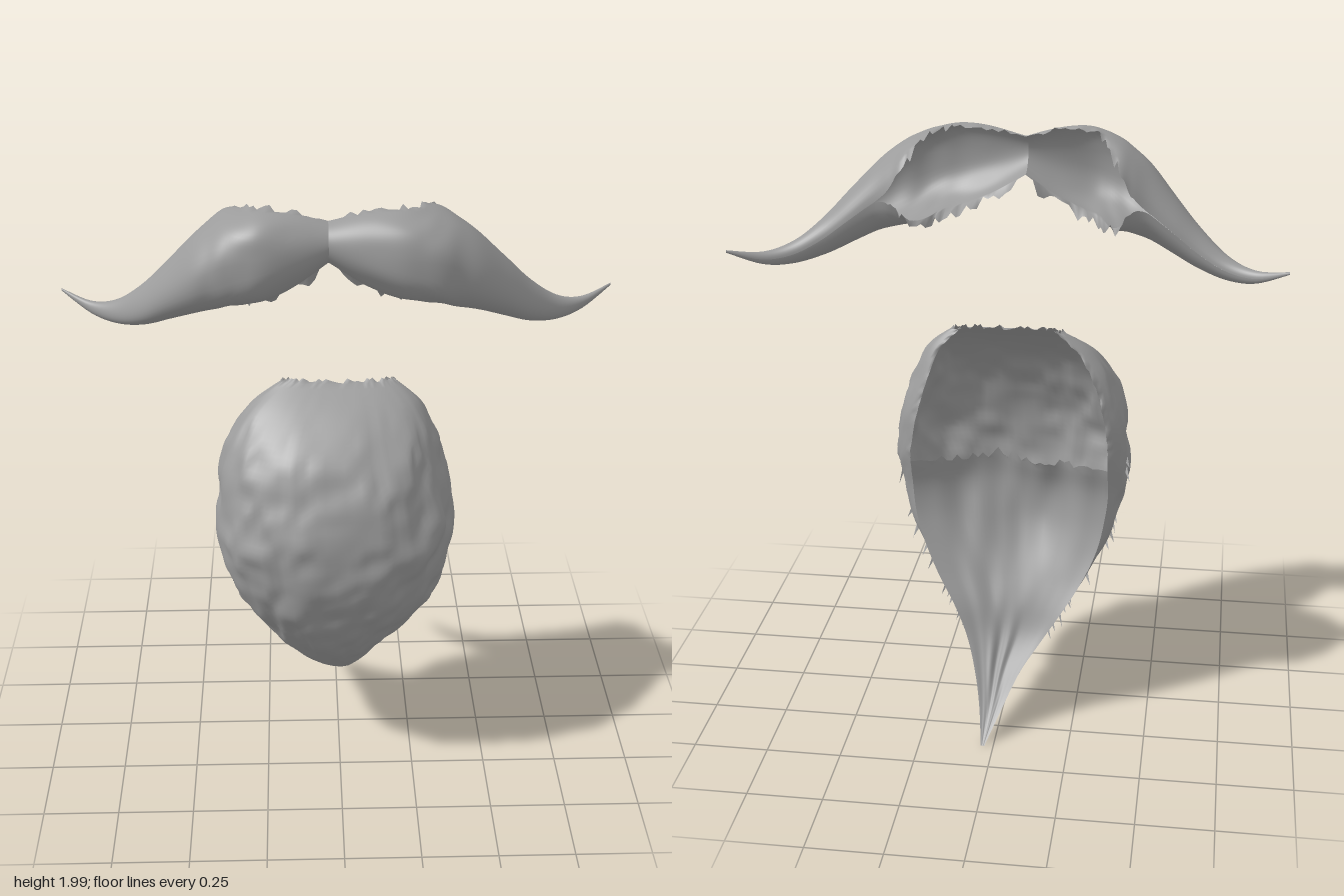
import * as THREE from 'three';
import { mergeGeometries } from 'three/addons/utils/BufferGeometryUtils.js';

// Smooth interpolation through rows of numbers, t in 0..1
function sample(rows, t) {
  const f = Math.min(Math.max(t, 0), 1) * (rows.length - 1);
  const i = Math.min(Math.floor(f), rows.length - 2), k = f - i;
  const at = (n) => rows[Math.min(Math.max(n, 0), rows.length - 1)];
  return rows[0].map((_, c) => {
    const a = at(i - 1)[c], b = at(i)[c], d = at(i + 1)[c], e = at(i + 2)[c];
    return b + 0.5 * k * (d - a + k * (2 * a - 5 * b + 4 * d - e + k * (3 * (b - d) + e - a)));
  });
}

// Signed power, for squarer or rounder cross-sections
const pw = (s, p) => Math.sign(s) * Math.abs(s) ** p;

// Repeatable noise
const hash = (a, b = 0) => {
  const s = Math.sin(a * 127.1 + b * 311.7) * 43758.5453;
  return s - Math.floor(s);
};
function noise(x, y) {
  const i = Math.floor(x), j = Math.floor(y);
  const s = (k) => k * k * (3 - 2 * k);
  const u = s(x - i), v = s(y - j), mix = THREE.MathUtils.lerp;
  return mix(mix(hash(i, j), hash(i + 1, j), u), mix(hash(i, j + 1), hash(i + 1, j + 1), u), v) - 0.5;
}

// Grid surface from point(u, v, column, row)
function surface(nu, nv, point) {
  const pos = [], idx = [];
  for (let j = 0; j <= nv; j++) {
    for (let i = 0; i <= nu; i++) {
      pos.push(...point(i / nu, j / nv, i, j));
      if (i < nu && j < nv) {
        const a = j * (nu + 1) + i, b = a + 1, c = a + nu + 1, d = c + 1;
        idx.push(a, b, d, a, d, c);
      }
    }
  }
  const g = new THREE.BufferGeometry();
  g.setAttribute('position', new THREE.Float32BufferAttribute(pos, 3));
  g.setIndex(idx);
  g.computeVertexNormals();
  return g;
}

// Moustache stations: distance out, top, bottom, front, back, arc half-angle, squareness
const STACHE = [
  [0.00, 1.955, 1.83, 0.25, 0.10, 92, 1],
  [0.10, 1.98, 1.765, 0.28, 0.08, 92, 0.95],
  [0.20, 1.99, 1.72, 0.305, 0.05, 93, 0.85],
  [0.27, 1.98, 1.705, 0.305, -0.01, 100, 0.75],
  [0.33, 1.96, 1.69, 0.295, -0.06, 140, 0.75],
  [0.38, 1.93, 1.675, 0.275, -0.045, 170, 0.85],
  [0.44, 1.885, 1.655, 0.25, -0.03, 180, 0.95],
  [0.52, 1.80, 1.62, 0.19, -0.03, 180, 1],
  [0.61, 1.705, 1.58, 0.115, -0.035, 180, 1],
  [0.70, 1.635, 1.56, 0.03, -0.055, 180, 1],
  [0.79, 1.61, 1.57, -0.05, -0.09, 180, 1],
  [0.89, 1.63, 1.622, -0.13, -0.138, 180, 1],
];

// Half of the moustache: a horn whose inner end is open at the back
function stacheHalf(side) {
  return surface(36, 66, (u, v, i, j) => {
    const [out, top, bottom, front, back, arc, power] = sample(STACHE, v);
    const edge = i === 0 || i === 36;
    const open = edge && j > 2 ? THREE.MathUtils.clamp((176 - arc) / 40, 0, 1) : 0;
    const limit = Math.min(arc, 180) + (hash(j, i + side) - 0.3) * 20 * open;
    const a = THREE.MathUtils.degToRad((1 - 2 * u) * limit);
    const swell = 1 + noise(u * 7 + side * 9, v * 9) * 0.05 * Math.min(1, v * 8);
    const fringe = open * (i === 36 ? -0.04 * hash(j, 11 + side) : 0.02 * (hash(j, 17 + side) - 0.5));
    return [
      side * out - 0.035 * (1 - v) ** 2,
      (top + bottom) / 2 + (top - bottom) / 2 * pw(Math.sin(a), power) * swell + fringe,
      (front + back) / 2 + (front - back) / 2 * pw(Math.cos(a), power) * swell,
    ];
  });
}

// Beard rows from tip to top: height, right edge, left edge, front, rim
const BEARD = [
  [0.00, 0.03, 0.042, -0.375, -0.38],
  [0.10, -0.02, 0.06, -0.20, -0.29],
  [0.20, -0.07, 0.085, -0.05, -0.225],
  [0.30, -0.14, 0.12, 0.08, -0.175],
  [0.40, -0.21, 0.17, 0.18, -0.145],
  [0.50, -0.28, 0.24, 0.26, -0.105],
  [0.60, -0.335, 0.30, 0.315, -0.07],
  [0.70, -0.37, 0.345, 0.35, -0.045],
  [0.80, -0.395, 0.37, 0.37, -0.04],
  [0.90, -0.405, 0.385, 0.375, -0.065],
  [1.00, -0.40, 0.37, 0.355, -0.08],
  [1.10, -0.38, 0.345, 0.315, -0.08],
  [1.20, -0.345, 0.31, 0.24, -0.06],
  [1.29, -0.28, 0.265, 0.13, -0.03],
  [1.36, -0.18, 0.18, 0.015, -0.01],
];
const ROUND = 0.87;

// How far the shell curls inward past its widest point
const curl = (v) => THREE.MathUtils.degToRad(35) * Math.min(1, v * 1.6);

// Front shell with clumped hair
const beardFront = () => surface(72, 80, (u, v, i, j) => {
  const [y, x0, x1, front, rim] = sample(BEARD, v);
  const d = curl(v), a = -d + (Math.PI + 2 * d) * u, s = Math.sin(a);
  const middle = rim + Math.min(0.1, (front - rim) * 0.3);
  const body = Math.sin(Math.PI * u) ** 0.5 * Math.min(1, v * 3) * Math.min(1, (1 - v) * 6);
  const bump = 1 + body * (noise(u * 18, v * 13) * 0.07 + noise(u * 38, v * 24) * 0.06);
  const edge = i === 0 || i === 72;
  const rag = edge && v > 0.65 ? (hash(j, i) - 0.5) * 0.03 : 0;
  const lift = j === 80 ? (hash(i, 3) - 0.6) * 0.02 : 0;
  const z = s > 0 ? (front - middle) * s ** ROUND * bump : (middle - rim) * s / Math.sin(d || 1);
  return [
    (x0 + x1) / 2 - (x1 - x0) / 2 * pw(Math.cos(a), ROUND) * bump,
    y + lift,
    middle + z + rag,
  ];
});

// Back panel between the curled rims, ending in a ragged ledge below the opening
const LEDGE = 0.64;
const beardBack = () => surface(40, 50, (u, v, i, j) => {
  const [y, x0, x1, front, rim] = sample(BEARD, v * LEDGE);
  const half = (x1 - x0) / 2 * Math.cos(curl(v * LEDGE)) ** ROUND;
  const across = Math.sin(Math.PI * u);
  const hollow = across * Math.min(0.09 * v, (front - rim) * 0.3);
  const groove = across * v * noise(u * 9, v * 4 + 20) * 0.07;
  const rag = j === 50 ? (hash(i, 7) - 0.6) * 0.05 * across : 0;
  return [(x0 + x1) / 2 + half * (2 * u - 1), y + rag, rim + hollow + groove];
});

// Loose pointed tufts along both sides of the beard
function tufts() {
  const list = [];
  for (let n = 0; n < 26; n++) {
    const side = n % 2, t = 0.22 + 0.45 * hash(n, 5);
    const [y, x0, x1, , rim] = sample(BEARD, t);
    const x = side ? x1 : x0, dir = side ? 1 : -1, z = rim + 0.07;
    const len = 0.03 + 0.04 * hash(n, 9);
    const g = new THREE.BufferGeometry();
    g.setAttribute('position', new THREE.Float32BufferAttribute([
      x - dir * 0.01, y + 0.025, z + 0.03,
      x - dir * 0.012, y - 0.015, z + 0.01,
      x + dir * 0.015 * hash(n, 2), y - len, z - 0.03 * hash(n, 4),
    ], 3));
    g.computeVertexNormals();
    list.push(g);
  }
  return mergeGeometries(list);
}

export function createModel() {
  const hair = new THREE.MeshStandardMaterial({ color: 0x9c9c9c, side: THREE.DoubleSide });
  hair.name = 'grey hair';
  const model = new THREE.Group();
  model.name = 'moustacheAndBeard';
  const group = (name, parts) => {
    const g = new THREE.Group();
    g.name = name;
    for (const [part, geometry] of Object.entries(parts)) {
      const mesh = new THREE.Mesh(geometry, hair);
      mesh.name = part;
      g.add(mesh);
    }
    model.add(g);
  };
  group('moustache', { leftMoustache: stacheHalf(1), rightMoustache: stacheHalf(-1) });
  group('beard', { beardFront: beardFront(), beardBack: beardBack(), beardTufts: tufts() });
  return model;
}
